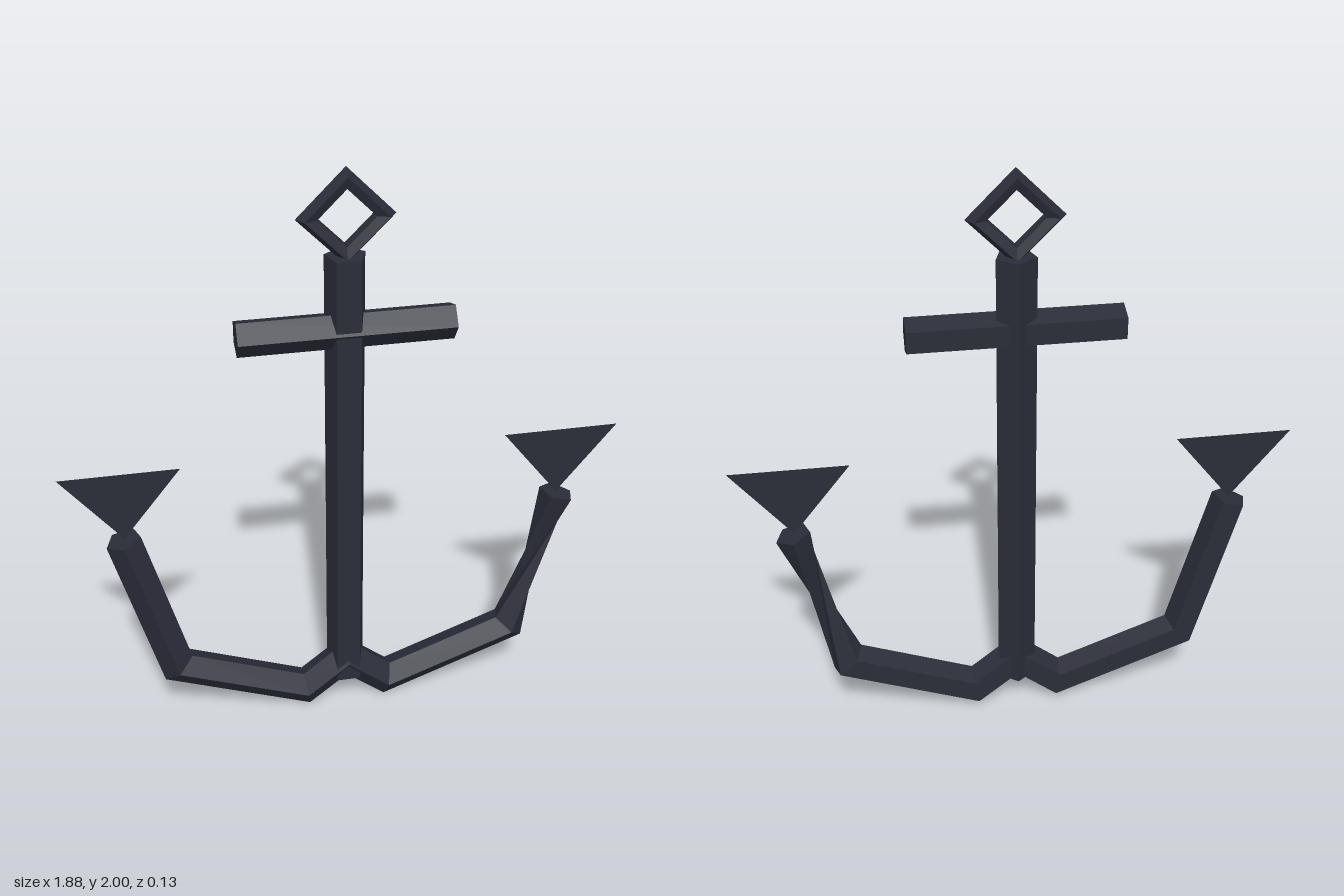
import * as THREE from 'three';

const iron = new THREE.MeshStandardMaterial({ color: 0x2a2c38, flatShading: true });
const ironSheet = new THREE.MeshStandardMaterial({ color: 0x2a2c38, flatShading: true, side: THREE.DoubleSide });

// Mitred five-sided bar along a path in the XY plane; endTwist turns the last ring.
function mitredBar(points, radius, endTwist) {
  const sides = 5, positions = [], index = [];
  const last = points.length - 1;
  const heading = (i) => points[i + 1].clone().sub(points[i]).normalize();
  points.forEach((p, i) => {
    const before = heading(Math.max(i - 1, 0));
    const after = heading(Math.min(i, last - 1));
    const along = before.clone().add(after).normalize();
    const stretch = radius / along.dot(after);
    const nx = along.y * stretch, ny = -along.x * stretch;
    for (let k = 0; k < sides; k++) {
      const a = Math.PI / 2 + (k * 2 * Math.PI) / sides + (i === last ? endTwist : 0);
      positions.push(p.x + nx * Math.cos(a), p.y + ny * Math.cos(a), radius * Math.sin(a));
    }
  });
  for (let i = 0; i < last; i++) {
    for (let k = 0; k < sides; k++) {
      const a = i * sides + k, b = i * sides + ((k + 1) % sides);
      const c = a + sides, d = b + sides;
      index.push(a, c, b, b, c, d);
    }
  }
  // end caps
  for (let k = 1; k < sides - 1; k++) {
    const e = last * sides;
    index.push(0, k, k + 1, e, e + k + 1, e + k);
  }
  const geometry = new THREE.BufferGeometry();
  geometry.setAttribute('position', new THREE.Float32BufferAttribute(positions, 3));
  geometry.setIndex(index);
  const flat = geometry.toNonIndexed();
  flat.computeVertexNormals();
  return flat;
}

export function createModel() {
  const group = new THREE.Group();
  const add = (name, geometry, material = iron) => {
    const mesh = new THREE.Mesh(geometry, material);
    mesh.name = name;
    group.add(mesh);
    return mesh;
  };

  // Upright shaft, flat side to the front
  const shaft = add('shaft', new THREE.CylinderGeometry(0.068, 0.068, 1.605, 5));
  shaft.rotation.y = Math.PI;
  shaft.position.y = 0.918;

  // Crossbar, ridge to the front
  const stock = add('crossbar', new THREE.CylinderGeometry(0.061, 0.061, 0.695, 5));
  stock.rotation.z = Math.PI / 2;
  stock.position.y = 1.475;

  // Diamond-shaped ring at the top
  add('ring', new THREE.TorusGeometry(0.12, 0.035, 5, 4)).position.y = 1.845;

  // Both arms as one bent bar; the left end is twisted and folds through itself, so it is two-sided
  const half = [[0.147, 0.068], [0.597, 0.237], [0.745, 0.782]];
  const path = [
    ...half.map(([x, y]) => new THREE.Vector2(-x, y)).reverse(),
    new THREE.Vector2(0, 0.185),
    ...half.map(([x, y]) => new THREE.Vector2(x, y)),
  ];
  add('arms', mitredBar(path, 0.062, -Math.PI * 0.6), ironSheet);

  // Thin triangular flukes
  for (const side of [-1, 1]) {
    const triangle = new THREE.Shape([
      new THREE.Vector2(0, 0.785),
      new THREE.Vector2(0.197, 1.03),
      new THREE.Vector2(-0.197, 1.03),
    ]);
    const fluke = add(side > 0 ? 'leftFluke' : 'rightFluke', new THREE.ShapeGeometry(triangle), ironSheet);
    fluke.position.x = side * 0.741;
  }
  return group;
}
